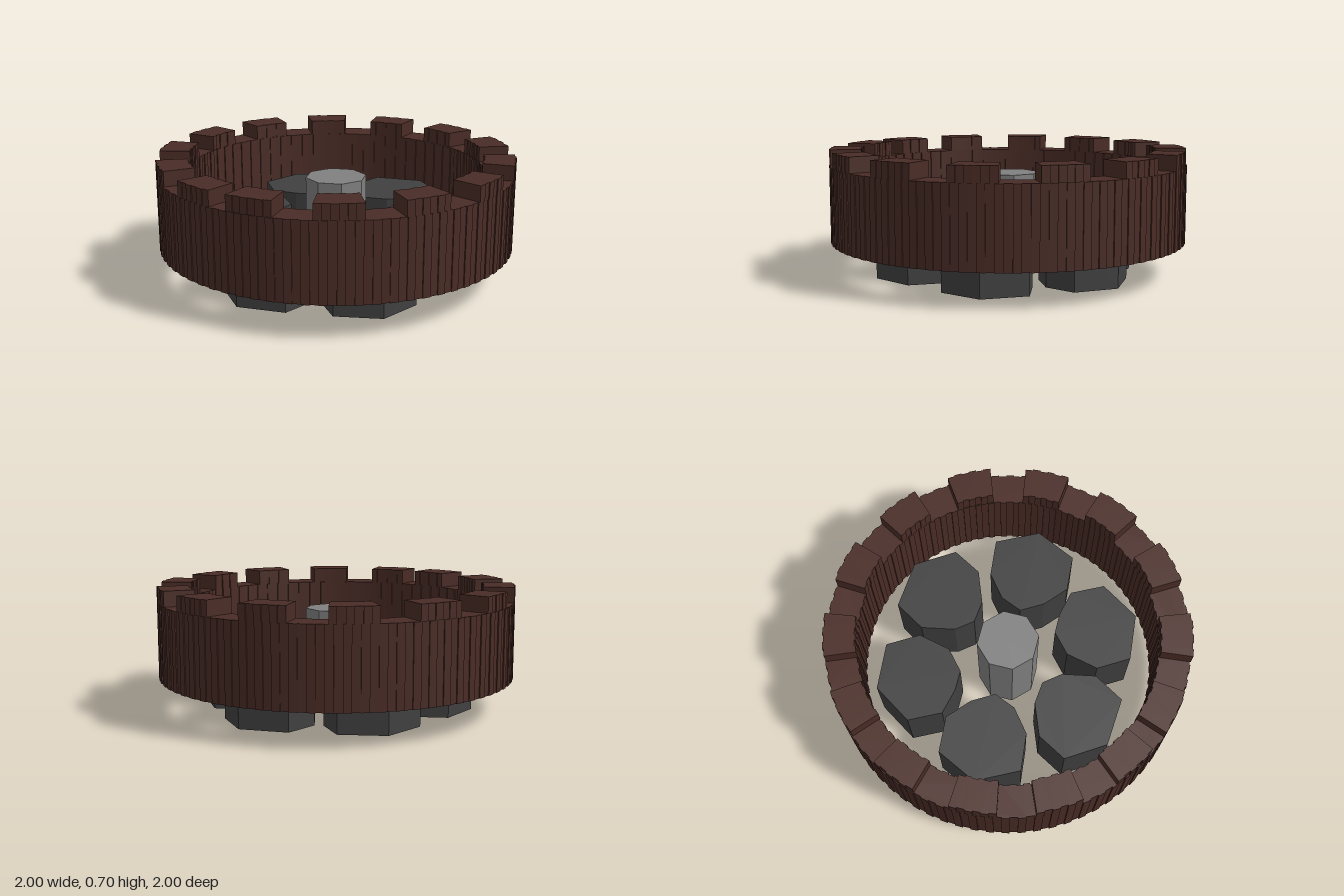
import * as THREE from 'three';

const OUTER = 0.997, INNER = 0.825, RIB = 0.006;
const WALL_BOTTOM = 0.19, WALL_TOP = 0.62, MERLON_TOP = 0.705;
const deg = Math.PI / 180;

const material = (color) => new THREE.MeshStandardMaterial({ color, flatShading: true });

// Plan point at an angle measured from the front (+z) towards +x
const polar = (r, a) => new THREE.Vector2(Math.sin(a) * r, -Math.cos(a) * r);

// Ribbed arc: small square steps in and out around radius r
function ribbedArc(r, from, to, ribs) {
  const points = [];
  const step = (to - from) / ribs;
  for (let i = 0; i < ribs; i++) {
    const rr = r + (i % 2 ? -RIB / 2 : RIB / 2);
    points.push(polar(rr, from + i * step), polar(rr, from + (i + 1) * step));
  }
  return points;
}

// Raise a plan shape from y = bottom to y = top
function prism(name, shape, bottom, top, mat) {
  const geometry = new THREE.ExtrudeGeometry(shape, { depth: top - bottom, bevelEnabled: false });
  geometry.rotateX(-Math.PI / 2).translate(0, bottom, 0);
  const mesh = new THREE.Mesh(geometry, mat);
  mesh.name = name;
  return mesh;
}

export function createModel() {
  const model = new THREE.Group();
  model.name = 'battlementRing';
  const brown = material(0x4a2c26);
  const darkGrey = material(0x404040);
  const grey = material(0x808080);

  // Round wall with ribbed faces
  const ring = new THREE.Shape(ribbedArc(OUTER, 0, Math.PI * 2, 144));
  ring.holes.push(new THREE.Path(ribbedArc(INNER, 0, Math.PI * 2, 144).reverse()));
  model.add(prism('wall', ring, WALL_BOTTOM, WALL_TOP, brown));

  // Fourteen merlons, with a narrower last gap at the front
  const merlons = new THREE.Group();
  merlons.name = 'merlons';
  for (let k = 0; k < 14; k++) {
    const a = (9.6 + k * 26.08) * deg, half = 7.2 * deg;
    const outline = [
      ...ribbedArc(OUTER, a - half, a + half, 6),
      ...ribbedArc(INNER, a - half, a + half, 6).reverse(),
    ];
    merlons.add(prism('merlon', new THREE.Shape(outline), WALL_TOP, MERLON_TOP, brown));
  }
  model.add(merlons);

  // Irregular stones: three plans [x, z], each repeated half a turn round
  const plans = [
    [[0.106, -0.766], [0.314, -0.622], [0.293, -0.436], [0.154, -0.303],
      [0.032, -0.266], [-0.074, -0.324], [-0.181, -0.484], [-0.154, -0.681]],
    [[0.51, -0.473], [0.71, -0.303], [0.697, -0.048], [0.516, 0.043],
      [0.36, -0.01], [0.245, -0.096], [0.245, -0.229], [0.324, -0.372]],
    [[0.66, 0.202], [0.617, 0.457], [0.383, 0.58], [0.223, 0.463],
      [0.19, 0.277], [0.255, 0.144], [0.36, 0.1], [0.51, 0.074]],
  ];
  const stones = new THREE.Group();
  stones.name = 'stones';
  for (const plan of plans) {
    for (const s of [1, -1]) {
      const shape = new THREE.Shape(plan.map(([x, z]) => new THREE.Vector2(s * x, -s * z)));
      stones.add(prism('stone', shape, 0.005, 0.38, darkGrey));
    }
  }
  model.add(stones);

  // Octagonal centre post
  const post = new THREE.Mesh(new THREE.CylinderGeometry(0.173, 0.173, 0.565, 8), grey);
  post.name = 'centrePost';
  post.position.y = 0.2825;
  model.add(post);

  return model;
}
